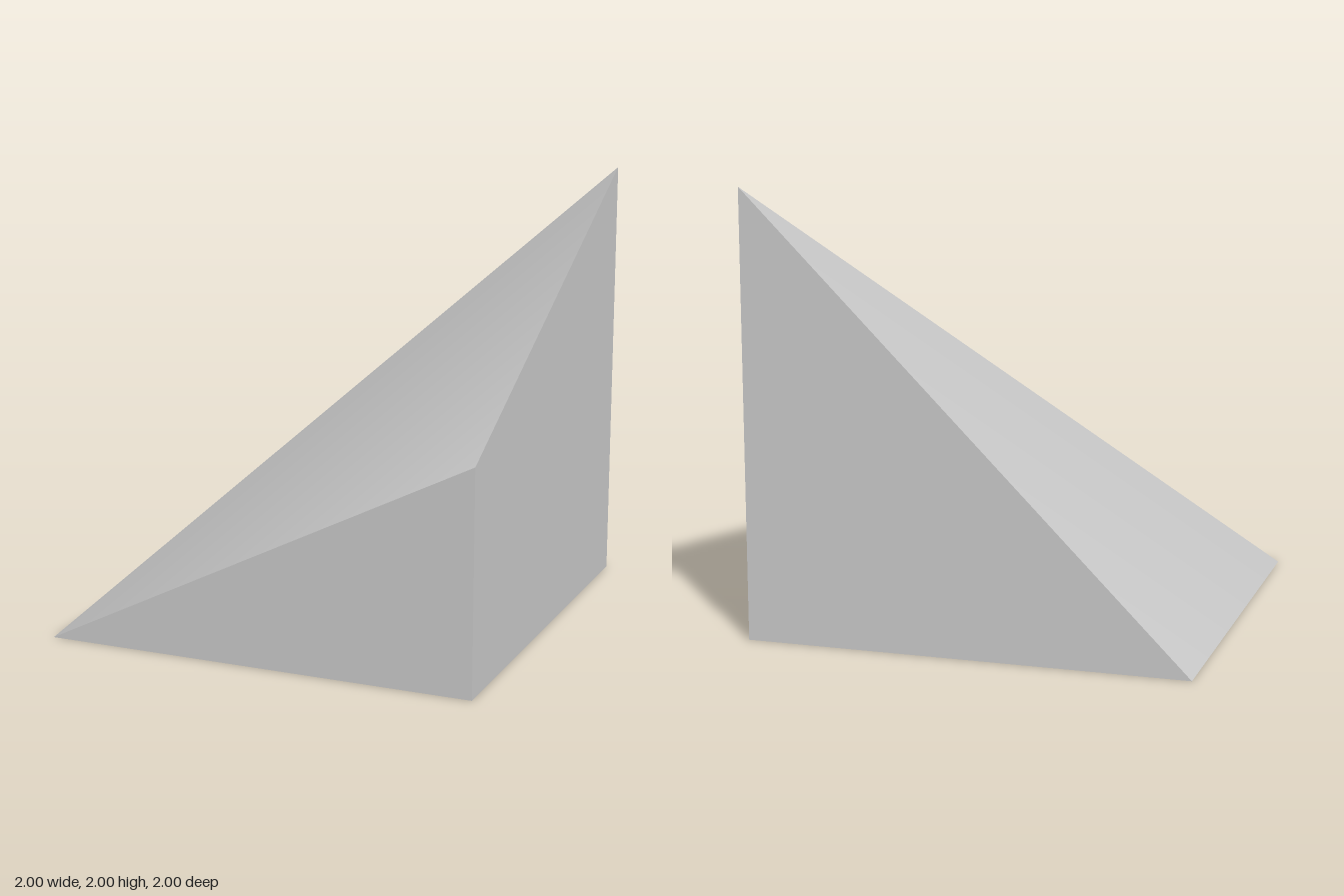
import * as THREE from 'three';

export function createModel() {
  const model = new THREE.Group();
  model.name = 'skewedWedge';
  const grey = new THREE.MeshStandardMaterial({ color: 0xcccccc });
  grey.name = 'light grey';

  // Corners of the wedge; the thin edge lies on the ground at x = -1
  const thinFront = [-1, 0, 1];
  const thinBack = [-1, 0, -1];
  const baseFront = [1, 0, 1];
  const baseBack = [1, 0, -1];
  const topFront = [1, 1, 1];
  const peak = [1, 2, -1];

  // One side as a fan of triangles, counter-clockwise from outside
  function addSide(name, corners) {
    const geometry = new THREE.BufferGeometry();
    geometry.setAttribute('position', new THREE.Float32BufferAttribute(corners.flat(), 3));
    const index = [];
    for (let i = 1; i < corners.length - 1; i++) index.push(0, i, i + 1);
    geometry.setIndex(index);
    geometry.computeVertexNormals();
    const mesh = new THREE.Mesh(geometry, grey);
    mesh.name = name;
    model.add(mesh);
  }

  // The slope folds softly from the thin front corner to the peak
  addSide('slope', [thinFront, topFront, peak, thinBack]);
  addSide('frontSide', [thinFront, baseFront, topFront]);
  addSide('backSide', [thinBack, peak, baseBack]);
  addSide('tallSide', [baseFront, baseBack, peak, topFront]);
  addSide('base', [thinFront, thinBack, baseBack, baseFront]);

  return model;
}
